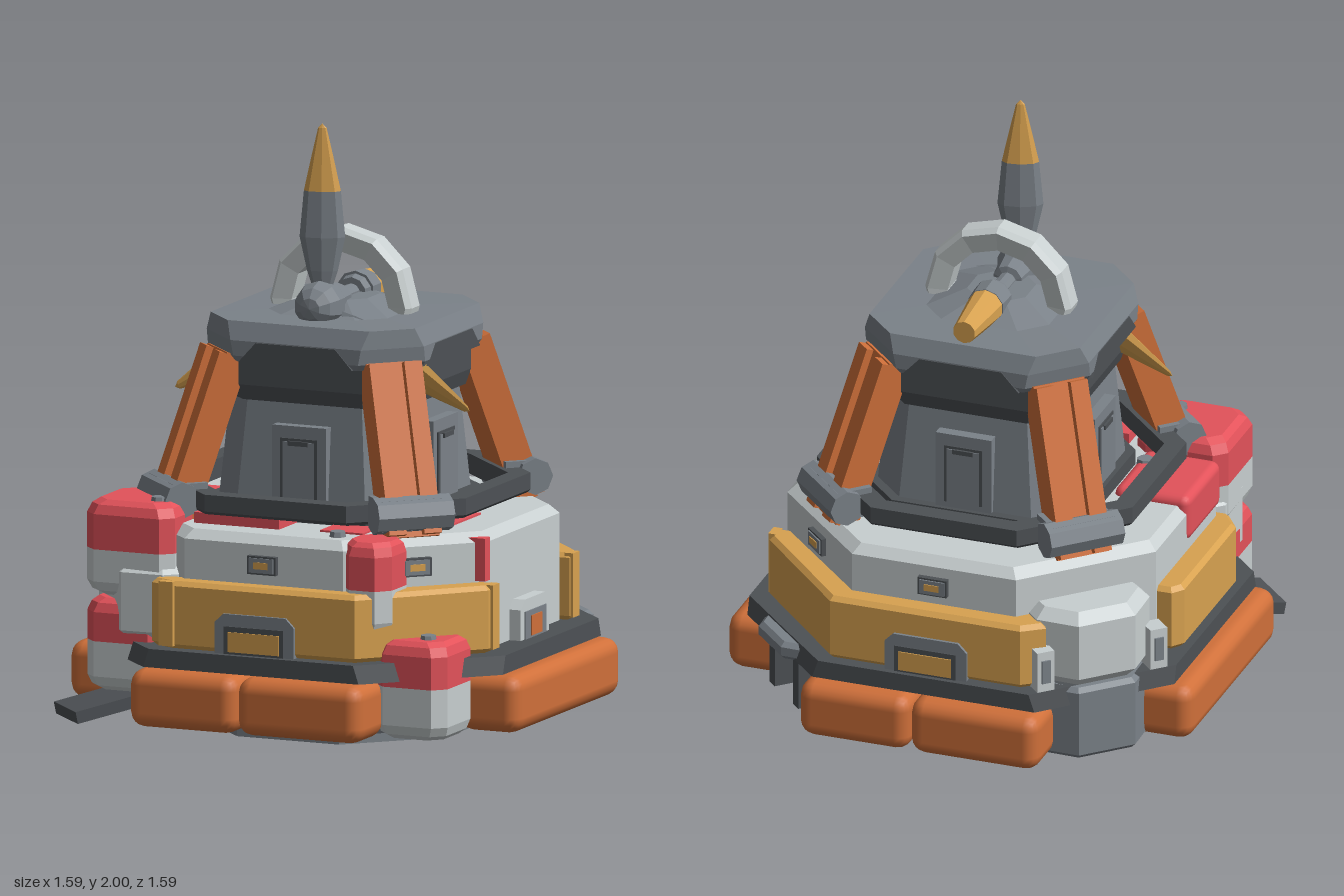
import * as THREE from 'three';
import { RoundedBoxGeometry } from 'three/addons/geometries/RoundedBoxGeometry.js';

const mat = (name, color) => Object.assign(new THREE.MeshStandardMaterial({ color }), { name });
const M = {
  orange: mat('burnt orange', 0xd0703a), gold: mat('ochre', 0xd8a250), red: mat('red', 0xe3525a),
  white: mat('pale grey', 0xc8cfd0), grey: mat('mid grey', 0x7b8289), dark: mat('dark grey', 0x4d5155),
};

function flat(g) {
  const r = g.index ? g.toNonIndexed() : g;
  r.computeVertexNormals();
  return r;
}

// Octagonal loft: rings of [y, halfWidth, halfFace]
function octLoft(rings, caps = true) {
  const pts = rings.map(([y, h, f]) =>
    [[f, h], [h, f], [h, -f], [f, -h], [-f, -h], [-h, -f], [-h, f], [-f, h]].map(([x, z]) => [x, y, z]));
  const v = [];
  for (let k = 0; k + 1 < pts.length; k++) for (let i = 0; i < 8; i++) {
    const j = (i + 1) % 8, a = pts[k][i], b = pts[k][j], c = pts[k + 1][j], d = pts[k + 1][i];
    v.push(...a, ...b, ...c, ...a, ...c, ...d);
  }
  if (caps) for (let i = 0; i < 8; i++) {
    const j = (i + 1) % 8, n = rings.length - 1;
    v.push(0, rings[n][0], 0, ...pts[n][i], ...pts[n][j], 0, rings[0][0], 0, ...pts[0][j], ...pts[0][i]);
  }
  const g = new THREE.BufferGeometry();
  g.setAttribute('position', new THREE.Float32BufferAttribute(v, 3));
  g.computeVertexNormals();
  return g;
}

const outlineShape = pts => new THREE.Shape(pts.map(p => new THREE.Vector2(...p)));

// Vertical prism from a plan outline of [x, z], with bevelled edges
function prism(outline, y0, y1, b = 0.015) {
  const g = new THREE.ExtrudeGeometry(outlineShape(outline.map(([x, z]) => [x, -z])), {
    depth: y1 - y0 - 2 * b, bevelEnabled: true, bevelSize: b, bevelThickness: b, bevelOffset: -b, bevelSegments: 1 });
  return flat(g.rotateX(-Math.PI / 2).translate(0, y0 + b, 0));
}

export function createModel() {
  const root = new THREE.Group();
  root.name = 'turbineTower';
  const add = (name, geo, m, p = [0, 0, 0], parent = root) => {
    const o = new THREE.Mesh(geo, m);
    o.name = name;
    o.position.set(...p);
    parent.add(o);
    return o;
  };
  const box = (name, s, m, p, parent) => add(name, new THREE.BoxGeometry(...s), m, p, parent);
  const round = (name, s, r, m, p, parent) => add(name, new RoundedBoxGeometry(...s, 2, r), m, p, parent);
  const turned = (name, angle, parent = root) => {
    const g = new THREE.Group();
    g.name = name;
    g.rotation.y = angle;
    parent.add(g);
    return g;
  };

  // Base, studs and floor frame
  add('basePlate', octLoft([[0.03, 0.44, 0.18], [0.12, 0.44, 0.18]]), M.grey);
  for (const x of [-0.11, 0.11]) for (const z of [-0.17, 0.17])
    add('baseStud', flat(new THREE.SphereGeometry(0.03, 8, 6).scale(1, 1, 1.4)), M.grey, [x, 0.03, z]);
  add('floorFrame', octLoft([[0.1, 0.62, 0.3], [0.12, 0.62, 0.3]]), M.dark);
  for (let i = 0; i < 4; i++)
    box('floorSlot', [0.34, 0.008, 0.08], M.orange, [0, 0.099, 0.53], turned('floorSlotSide', i * Math.PI / 2));
  add('skirt', octLoft([[0.12, 0.45, 0.2], [0.3, 0.45, 0.2]]), M.dark);
  add('skirtRim', octLoft([[0.29, 0.73, 0.38], [0.35, 0.73, 0.36]]), M.dark);

  // Bumpers
  for (const s of [-1, 1]) {
    round('sideBumper', [0.22, 0.19, 0.82], 0.05, M.orange, [s * 0.685, 0.195, 0]);
    const split = -0.03 * s;
    round('endBumper', [split + 0.41, 0.19, 0.22], 0.05, M.orange, [(split - 0.41) / 2, 0.195, s * 0.685]);
    round('endBumper', [0.41 - split, 0.19, 0.22], 0.05, M.orange, [(split + 0.41) / 2, 0.195, s * 0.685]);
  }

  // Main hull and raised deck ring
  add('hull', octLoft([[0.34, 0.63, 0.28], [0.7, 0.63, 0.28], [0.73, 0.6, 0.26]]), M.white);
  add('deckRing', octLoft([[0.765, 0.53, 0.25], [0.775, 0.54, 0.25], [0.83, 0.54, 0.25],
    [0.83, 0.475, 0.22], [0.765, 0.475, 0.22], [0.765, 0.53, 0.25]], false), M.dark);

  // Ochre armour bands
  add('frontArmour', prism([[-0.38, 0.6], [-0.38, 0.66], [-0.3, 0.695], [0.35, 0.695], [0.665, 0.35], [0.665, 0.28], [0.6, 0.28], [0.29, 0.6]], 0.35, 0.57), M.gold);
  add('backArmour', prism([[0.6, -0.28], [0.665, -0.28], [0.665, -0.35], [0.33, -0.7], [-0.32, -0.7], [-0.39, -0.65], [-0.36, -0.58], [0.27, -0.6]], 0.35, 0.57), M.gold);
  add('sideArmour', prism([[-0.6, -0.27], [-0.68, -0.27], [-0.71, -0.23], [-0.71, 0.25], [-0.66, 0.32], [-0.6, 0.32]], 0.35, 0.57), M.gold);
  box('armourRib', [0.05, 0.21, 0.03], M.gold, [-0.31, 0.465, 0.695]);
  for (const s of [-1, 1]) box('armourRib', [0.03, 0.21, 0.05], M.gold, [0.66, 0.465, s * 0.31]);

  // Gates
  const gate = (angle, dist, w, frame, inner, core, coreWidth) => {
    const g = turned('gate', angle);
    const arch = outlineShape([[-w, 0], [w, 0], [w, 0.1], [w - 0.03, 0.13], [0.03 - w, 0.13], [-w, 0.1]]);
    add('gateFrame', flat(new THREE.ExtrudeGeometry(arch, { depth: 0.05, bevelEnabled: false })), frame, [0, 0.35, dist - 0.04], g);
    box('gateRecess', [w * 1.5, 0.09, 0.006], inner, [0, 0.395, dist + 0.011], g);
    box('gateDoor', [coreWidth, 0.065, 0.008], core, [0, 0.39, dist + 0.014], g);
  };
  gate(0, 0.695, 0.14, M.grey, M.dark, M.gold, 0.18);
  gate(Math.PI / 2, 0.66, 0.11, M.white, M.grey, M.orange, 0.08);
  gate(Math.PI, 0.7, 0.14, M.grey, M.dark, M.gold, 0.18);

  // Small lit vents around the hull
  for (const i of [0, 1, 3, 4]) {
    const g = turned('vent', i * Math.PI / 4), d = i % 2 ? 0.646 : 0.634;
    box('ventFrame', [0.1, 0.06, 0.03], M.dark, [0, 0.635, d], g);
    box('ventRim', [0.085, 0.048, 0.008], M.grey, [0, 0.635, d + 0.016], g);
    box('ventLight', [0.05, 0.022, 0.008], M.gold, [0, 0.635, d + 0.019], g);
  }

  // Two-tone tanks
  const tank = (x0, x1, z0, z1, y0, ym, y1) => {
    const p = [(x0 + x1) / 2, 0, (z0 + z1) / 2], lx = (x1 - x0) / 2, lz = (z1 - z0) / 2;
    const shell = list => flat(octLoft(list.map(([y, k]) => [y, k, k - 0.04 / lx])).scale(lx, 1, lz));
    add('tankBottom', shell([[y0, 0.78], [y0 + 0.015, 0.92], [y0 + 0.045, 1], [ym, 1]]), M.white, p);
    add('tankTop', shell([[ym, 1], [y1 - 0.045, 1], [y1 - 0.015, 0.92], [y1, 0.78]]), M.red, p);
  };
  tank(-0.64, -0.37, 0.36, 0.63, 0.18, 0.34, 0.48);
  tank(-0.64, -0.33, 0.33, 0.63, 0.49, 0.64, 0.8);
  tank(0.38, 0.63, 0.37, 0.63, 0.1, 0.27, 0.42);
  tank(0.27, 0.44, 0.44, 0.65, 0.43, 0.58, 0.735);
  for (const [x, y, z] of [[-0.41, 0.8, 0.54], [0.54, 0.42, 0.54], [0.22, 0.735, 0.54], [-0.41, 0.755, 0.22], [0.41, 0.735, 0.22]])
    add('capBolt', flat(new THREE.CylinderGeometry(0.025, 0.03, 0.025, 8)), M.grey, [x, y, z]);

  // Red deck blocks and stripes
  round('deckBlock', [0.26, 0.16, 0.31], 0.03, M.red, [-0.51, 0.68, 0.155]);
  box('deckPaint', [0.1, 0.008, 0.31], M.red, [0.43, 0.732, 0.155]);
  box('frontDeckBlock', [0.3, 0.04, 0.14], M.red, [-0.15, 0.745, 0.44]);
  box('deckPaint', [0.15, 0.008, 0.14], M.red, [0.21, 0.732, 0.42]);
  box('hullStripe', [0.06, 0.14, 0.04], M.red, [0.605, 0.645, 0.29]);

  // Corner pillars, corner fins and ramp
  const plan = [[-0.2, 0.55], [-0.2, 0.7], [-0.1, 0.806], [0.1, 0.806], [0.2, 0.7], [0.2, 0.55]];
  for (const a of [-0.25, -0.75])
    add('pillarBody', prism(plan, 0.35, 0.61, 0.035), M.white, [0, 0, 0], turned('cornerPillar', a * Math.PI));
  const foot = turned('pillarFootCorner', -Math.PI * 0.75);
  add('pillarFoot', prism(plan, 0.1, 0.35), M.grey, [0, 0, 0], foot);
  for (const s of [-1, 1]) {
    box('pillarHandle', [0.06, 0.14, 0.07], M.white, [s * 0.2, 0.42, 0.735], foot);
    box('handleInset', [0.03, 0.08, 0.008], M.grey, [s * 0.2, 0.42, 0.772], foot);
  }
  const finCorner = turned('finCorner', Math.PI * 0.75);
  add('cornerRim', prism([[-0.2, 0.6], [-0.16, 0.75], [-0.085, 0.82], [0.085, 0.82], [0.16, 0.75], [0.2, 0.6]], 0.285, 0.345), M.grey, [0, 0, 0], finCorner);
  for (const s of [-1, 1]) box('cornerFin', [0.04, 0.18, 0.14], M.dark, [s * 0.09, 0.2, 0.7], finCorner);
  const ramp = turned('cornerRamp', -Math.PI / 4);
  box('rampPlate', [0.2, 0.04, 0.32], M.dark, [0, 0.14, 0.8], ramp).rotation.x = 0.2;

  // Central column with doors
  add('column', octLoft([[0.72, 0.345, 0.23], [1.13, 0.31, 0.2]]), M.grey);
  add('columnFoot', octLoft([[0.72, 0.37, 0.24], [0.78, 0.37, 0.24]]), M.dark);
  for (let i = 0; i < 4; i++) {
    const g = turned('columnDoor', i * Math.PI / 2);
    box('doorFrame', [0.19, 0.28, 0.06], M.grey, [0, 0.9, 0.325], g);
    box('doorRecess', [0.13, 0.2, 0.006], M.dark, [0, 0.9, 0.356], g);
    box('doorLeaf', [0.11, 0.19, 0.009], M.grey, [0, 0.895, 0.358], g);
    box('doorHandle', [0.07, 0.015, 0.008], M.dark, [0, 0.985, 0.364], g);
  }

  // Collar and cap with a dark slot on each side
  add('collar', octLoft([[1.11, 0.33, 0.21], [1.16, 0.345, 0.22], [1.26, 0.345, 0.22]]), M.dark);
  add('cap', octLoft([[1.24, 0.37, 0.21], [1.26, 0.383, 0.22], [1.31, 0.383, 0.23], [1.37, 0.36, 0.25],
    [1.372, 0.21, 0.13], [1.415, 0.1, 0.05]]), M.grey);
  for (let i = 0; i < 4; i++) {
    const g = turned('capSlot', i * Math.PI / 2);
    const s = outlineShape([[-0.2, 0], [0.2, 0], [0.14, 0.065], [-0.14, 0.065]]);
    add('slotPlate', new THREE.ExtrudeGeometry(s, { depth: 0.009, bevelEnabled: false }), M.dark, [0, 1.242, 0.377], g);
  }

  // Four leaning struts with clamps
  for (let i = 0; i < 4; i++) {
    const g = turned('strutAssembly', Math.PI / 4 + i * Math.PI / 2);
    const lean = turned('strut', 0, g);
    lean.position.set(0, 0.985, 0.495);
    lean.rotation.x = -0.34;
    box('strutBeam', [0.18, 0.57, 0.08], M.orange, [0, 0, 0], lean);
    for (const s of [-1, 1]) box('strutRail', [0.06, 0.56, 0.03], M.orange, [s * 0.06, 0, 0.05], lean);
    const roll = add('strutClamp', flat(new THREE.CylinderGeometry(0.06, 0.06, 0.26, 8)), M.grey, [0, 0.8, 0.605], g);
    roll.rotation.z = Math.PI / 2;
    box('clampBlock', [0.22, 0.1, 0.12], M.grey, [0, 0.8, 0.57], g);
  }

  // Arch ring
  const lathe = (pts, n) => new THREE.LatheGeometry(pts.map(p => new THREE.Vector2(...p)), n);
  const ring = lathe([[0.17, -0.04], [0.235, -0.05], [0.25, -0.03], [0.25, 0.03], [0.235, 0.05], [0.17, 0.04], [0.17, -0.04]], 12);
  add('archRing', flat(ring.rotateX(Math.PI / 2)), M.white, [0, 1.39, 0]);

  // Turbine: hub, shaft, tail cone
  const hub = lathe([[0, -0.13], [0.05, -0.12], [0.06, -0.05], [0.075, -0.02], [0.08, 0.03], [0.065, 0.075], [0.035, 0.1], [0, 0.105]], 10);
  add('hub', flat(hub.rotateX(Math.PI / 2)), M.grey, [0, 1.41, 0.175]);
  const rod = (name, front, back, z0, z1, m) =>
    add(name, flat(new THREE.CylinderGeometry(front, back, z0 - z1, 10).rotateX(Math.PI / 2)), m, [0, 1.41, (z0 + z1) / 2]);
  rod('shaft', 0.03, 0.03, 0.1, -0.06, M.grey);
  rod('tailCollar', 0.05, 0.06, -0.05, -0.09, M.grey);
  rod('tailCollar', 0.066, 0.062, -0.08, -0.15, M.grey);
  rod('tailCone', 0.06, 0.038, -0.15, -0.35, M.gold);

  // Three blades
  for (let i = 0; i < 3; i++) {
    const b = new THREE.Group();
    b.name = 'blade';
    b.position.set(0, 1.4, 0.175);
    b.rotation.z = i * Math.PI * 2 / 3;
    root.add(b);
    const shape = g => flat(g.scale(1, 1, 0.4).rotateY(0.3));
    add('bladeBody', shape(lathe([[0.02, 0.03], [0.05, 0.12], [0.074, 0.23], [0.06, 0.38]], 8)), M.grey, [0, 0, 0], b);
    add('bladeTip', shape(lathe([[0.06, 0.38], [0.036, 0.49], [0.014, 0.585], [0, 0.6]], 8)), M.gold, [0, 0, 0], b);
  }
  return root;
}
